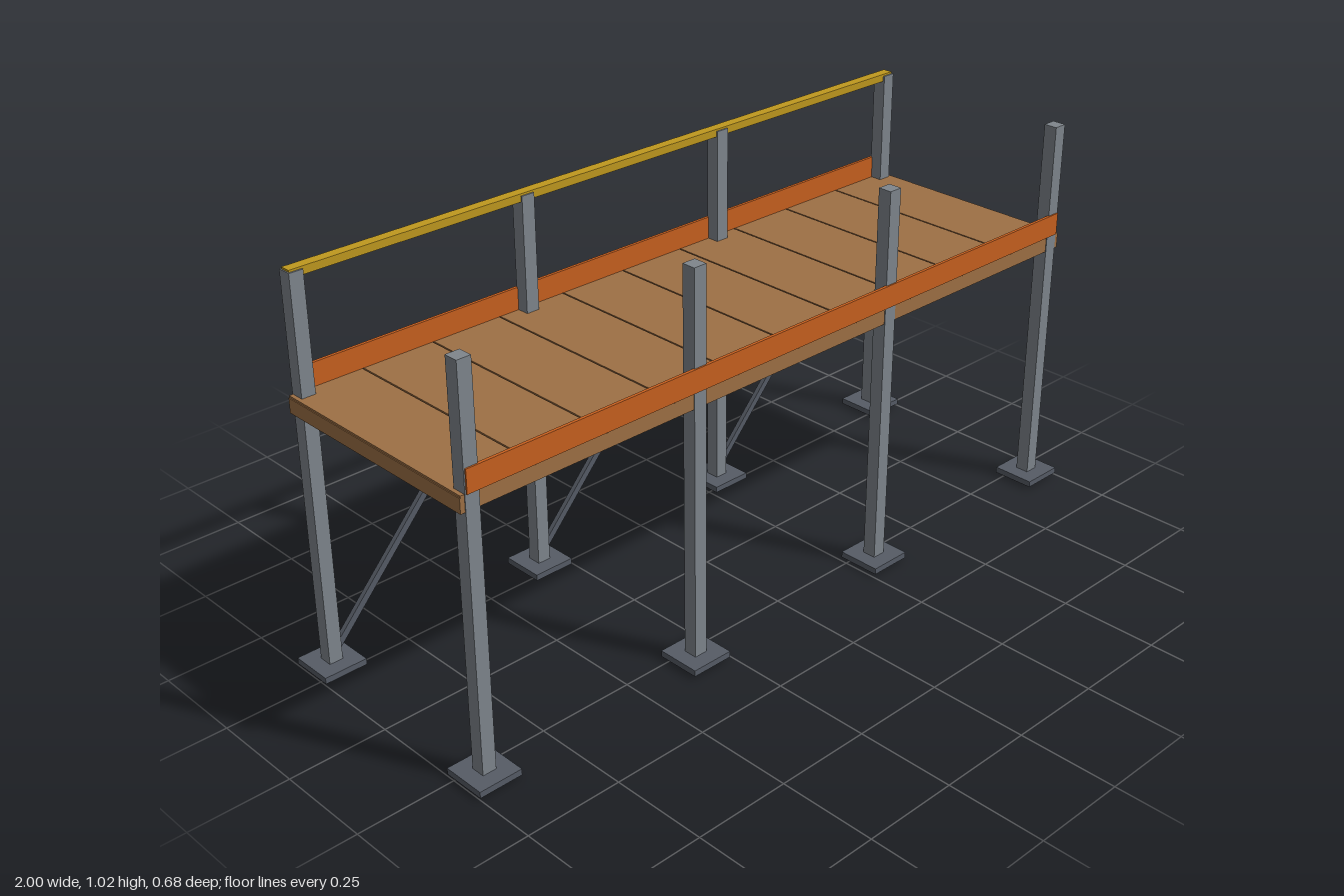
import * as THREE from 'three';

const material = (name, color) => {
  const m = new THREE.MeshStandardMaterial({ color });
  m.name = name;
  return m;
};

export function createModel() {
  const model = new THREE.Group();
  model.name = 'scaffoldPlatform';

  const steel = material('steel grey', 0x7f868d);
  const darkSteel = material('dark steel', 0x565c66);
  const wood = material('wood', 0x9e7045);
  const orange = material('orange', 0xc8601f);
  const yellow = material('yellow', 0xbf981e);

  const box = (name, mat, size, pos) => {
    const mesh = new THREE.Mesh(new THREE.BoxGeometry(...size), mat);
    mesh.name = name;
    mesh.position.set(...pos);
    model.add(mesh);
    return mesh;
  };

  const postX = [-0.943, -0.314, 0.314, 0.943];
  const postZ = 0.285;

  // Posts standing on square base plates
  for (const x of postX) {
    for (const z of [-postZ, postZ]) {
      box('post', steel, [0.036, 0.99, 0.036], [x, 0.52, z]);
      box('basePlate', darkSteel, [0.114, 0.016, 0.114], [x, 0.017, z]);
    }
  }

  // Deck slab topped with cross planks separated by narrow seams
  const deckLength = 1.946;
  const plankCount = 10;
  const pitch = deckLength / plankCount;
  box('deck', wood, [deckLength, 0.037, 0.602], [0, 0.6955, 0]);
  for (let i = 0; i < plankCount; i++) {
    const x = -deckLength / 2 + (i + 0.5) * pitch;
    box('plank', wood, [pitch - 0.004, 0.005, 0.602], [x, 0.7165, 0]);
  }

  // Toe boards on the outer faces of the posts
  for (const side of [-1, 1]) {
    box('toeBoard', orange, [1.916, 0.058, 0.008], [0, 0.748, side * 0.303]);
  }

  // Guard rail along the back
  box('guardRail', yellow, [1.916, 0.02, 0.027], [0, 1.01, -postZ]);

  // Diagonal braces behind the back posts
  for (let i = 0; i < postX.length - 1; i++) {
    const dx = postX[i + 1] - postX[i];
    const dy = 0.69;
    const brace = box('brace', darkSteel, [Math.hypot(dx, dy), 0.018, 0.013],
      [postX[i] + dx / 2, 0.01 + dy / 2, -0.302]);
    brace.rotation.z = Math.atan2(dy, dx);
  }

  return model;
}
